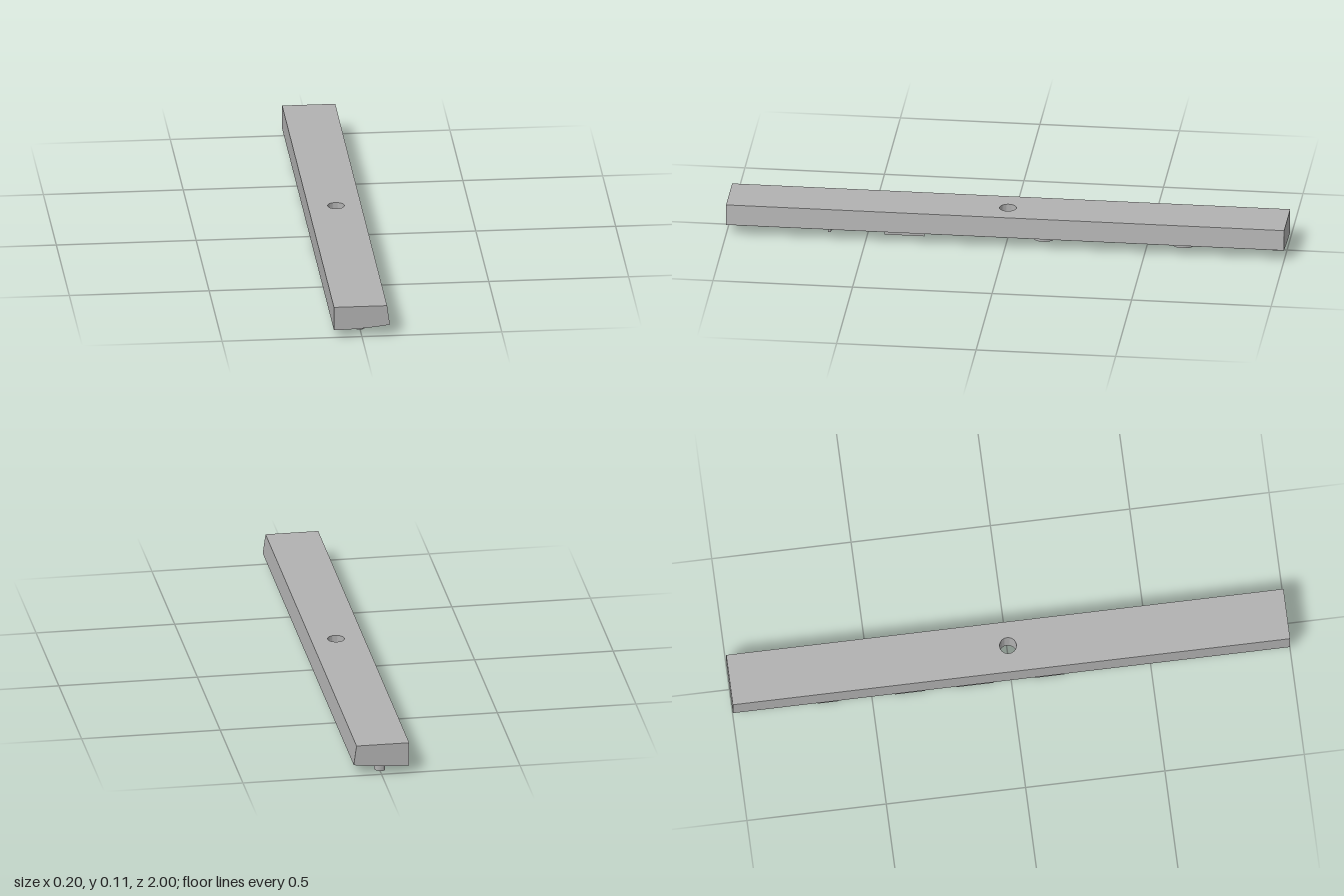
import * as THREE from 'three';
import { toCreasedNormals } from 'three/addons/utils/BufferGeometryUtils.js';

const HALF_W = 0.1, TOP = 0.115, RELIEF = 0.028;

// height of the gently curved underside
const under = (x) => 0.028 + 0.35 * (x + HALF_W) ** 2;

// plan-view outline (x, z) extruded downwards from y = 0
function planExtrude(shape, depth) {
  const g = new THREE.ExtrudeGeometry(shape, { depth, bevelEnabled: false, curveSegments: 24 });
  return g.rotateX(Math.PI / 2);
}

function rect(x0, x1, z0, z1, steps = 1) {
  const pts = [];
  for (let i = 0; i <= steps; i++) pts.push(new THREE.Vector2(x0 + (x1 - x0) * i / steps, z0));
  for (let i = steps; i >= 0; i--) pts.push(new THREE.Vector2(x0 + (x1 - x0) * i / steps, z1));
  return new THREE.Shape(pts);
}

function disc(x, z, r, inner = 0) {
  const s = new THREE.Shape().absarc(x, z, r, 0, Math.PI * 2, false);
  if (inner) s.holes.push(new THREE.Path().absarc(x, z, inner, 0, Math.PI * 2, true));
  return s;
}

export function createModel() {
  const model = new THREE.Group();
  const grey = new THREE.MeshStandardMaterial({ color: 0xb2b2b2 });
  grey.name = 'plainGrey';

  const add = (name, geometry, parent = model) => {
    const mesh = new THREE.Mesh(toCreasedNormals(geometry, 0.5), grey);
    mesh.name = name;
    parent.add(mesh);
  };

  // solid bar either side of the hole section: cross-section swept along z
  const MID = 0.06, STEPS = 12;
  const section = new THREE.Shape();
  section.moveTo(-HALF_W, TOP);
  for (let i = 0; i <= STEPS; i++) {
    const x = -HALF_W + 2 * HALF_W * i / STEPS;
    section.lineTo(x, under(x));
  }
  section.lineTo(0.09, TOP);
  section.closePath();
  for (const [name, z] of [['frontBody', MID], ['backBody', -1]]) {
    const g = new THREE.ExtrudeGeometry(section, { depth: 1 - MID, bevelEnabled: false });
    add(name, g.translate(0, 0, z));
  }

  // middle section with the vertical through hole
  const plan = rect(-HALF_W, HALF_W, -MID, MID, STEPS);
  plan.holes.push(new THREE.Path().absarc(0, 0, 0.03, 0, Math.PI * 2, true));
  const mid = planExtrude(plan, 1);
  const mp = mid.attributes.position;
  for (let i = 0; i < mp.count; i++) {
    const x = mp.getX(i);
    if (mp.getY(i) < -0.5) mp.setY(i, under(x));
    else mp.setXYZ(i, x > 0.099 ? 0.09 : x, TOP, mp.getZ(i));
  }
  add('holedBody', mid);

  // raised details follow the curve of the underside
  const relief = new THREE.Group();
  relief.name = 'undersideRelief';
  model.add(relief);
  const raise = (name, shape) => {
    const g = planExtrude(shape, RELIEF + 0.004);
    const p = g.attributes.position;
    for (let i = 0; i < p.count; i++) p.setY(i, p.getY(i) + 0.004 + under(p.getX(i)));
    add(name, g, relief);
  };

  // round pegs near both ends
  raise('frontPeg', disc(0, 0.925, 0.016, 0.005));
  raise('backPeg', disc(0, -0.957, 0.02, 0.007));

  // straight ribs
  const ribs = [
    [-0.02, 0.042, 0.63, 0.64],
    [0.03, 0.042, 0.295, 0.438],
    [-0.092, -0.08, 0.085, 0.192],
    [-0.092, -0.08, -0.197, -0.064],
    [-0.092, -0.08, -0.417, -0.31],
    [-0.092, -0.08, -0.695, -0.62],
  ];
  for (const r of ribs) raise('rib', rect(...r, 4));

  // small stud beside the hole
  raise('stud', disc(-0.065, 0.043, 0.021, 0.008));

  // paired rings: x, z, outer radius, inner radius
  const rings = [
    [0.003, 0.37, 0.032, 0.02], [-0.045, 0.37, 0.038, 0.026],
    [0.004, -0.13, 0.038, 0.026], [-0.052, -0.13, 0.03, 0.019],
    [0.004, -0.63, 0.038, 0.026], [-0.052, -0.635, 0.03, 0.019],
  ];
  for (const r of rings) raise('ring', disc(...r));

  return model;
}
